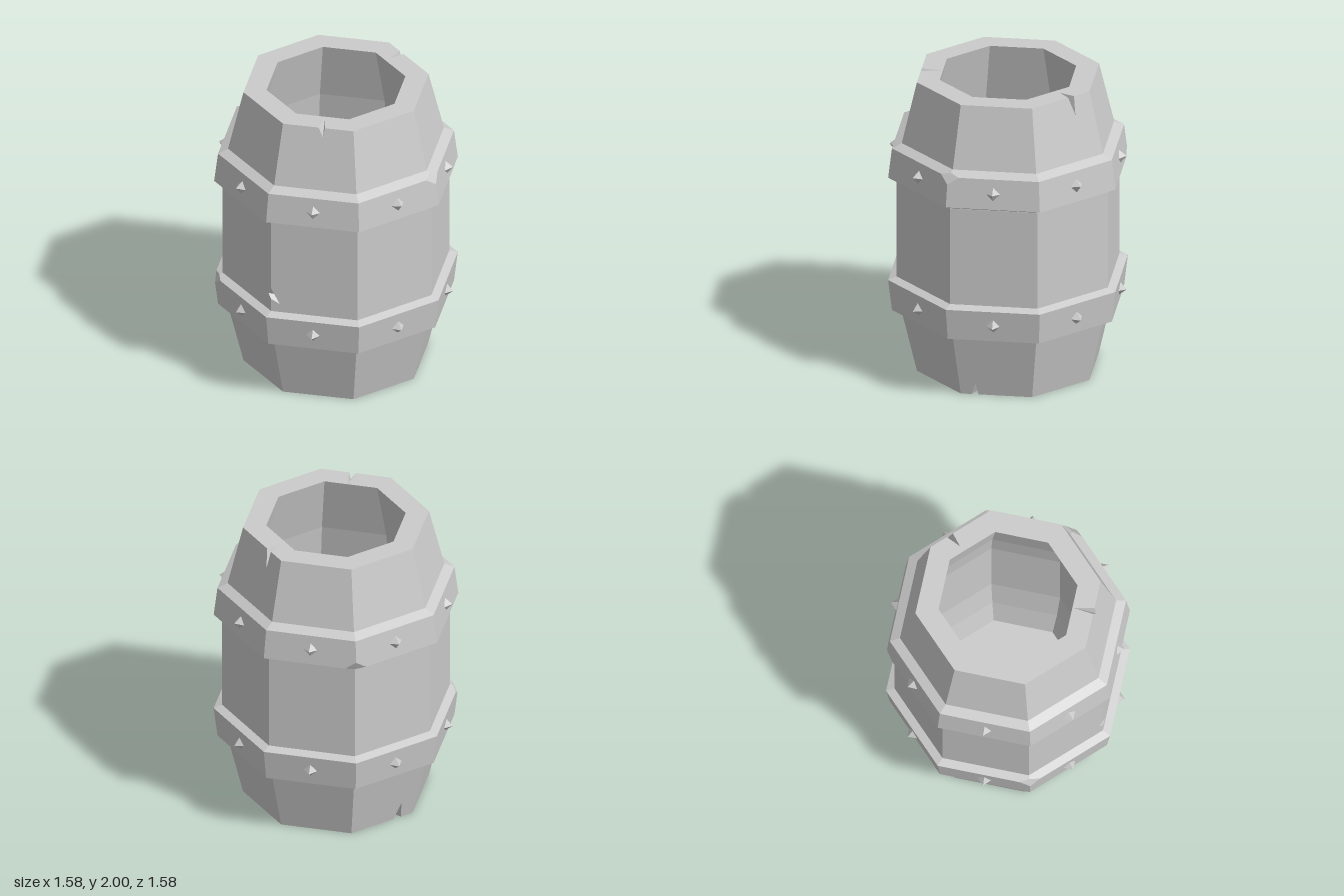
import * as THREE from 'three';
import { ConvexGeometry } from 'three/addons/geometries/ConvexGeometry.js';

const SIDES = 8;
const grey = new THREE.MeshStandardMaterial({ color: 0xcccccc, flatShading: true });
const greyOpen = new THREE.MeshStandardMaterial({ color: 0xcccccc, flatShading: true, side: THREE.DoubleSide });

// Corner k of an octagon with radius r at height y
function corner(k, r, y) {
  const a = (k * Math.PI * 2) / SIDES;
  return new THREE.Vector3(r * Math.sin(a), y, r * Math.cos(a));
}
const mix = (a, b, t) => a.clone().lerp(b, t);

// Triangulate a flat 3D polygon (counter-clockwise from its front) into out
function addPolygon(out, pts) {
  const n = new THREE.Vector3();
  pts.forEach((p, i) => n.add(p.clone().cross(pts[(i + 1) % pts.length])));
  n.normalize();
  const u = pts[1].clone().sub(pts[0]).normalize();
  const v = n.clone().cross(u);
  const flat = pts.map((p) => new THREE.Vector2(p.dot(u), p.dot(v)));
  for (const tri of THREE.ShapeUtils.triangulateShape(flat, [])) {
    for (const i of tri) out.push(pts[i].x, pts[i].y, pts[i].z);
  }
}

function toMesh(out, name) {
  const g = new THREE.BufferGeometry();
  g.setAttribute('position', new THREE.Float32BufferAttribute(out, 3));
  g.computeVertexNormals();
  const m = new THREE.Mesh(g, greyOpen);
  m.name = name;
  return m;
}

// [radius, height] outside and inside
const outer = [[0.6, 0], [0.7, 0.42], [0.735, 0.67], [0.735, 1.33], [0.7, 1.59], [0.6, 2]];
const inner = [[0.45, 0], [0.55, 0.42], [0.585, 0.67], [0.585, 1.33], [0.55, 1.59], [0.45, 2]];

// Splits in the rims: side, place along it, half width, depth down the side, reach across the rim
const splits = [
  { side: 7, top: true, t: 0.55, w: 0.045, depth: 0.06, reach: 0.97 },
  { side: 2, top: true, t: 0.68, w: 0.05, depth: 0.12, reach: 0.7 },
  { side: 1, top: false, t: 0.2, w: 0.05, depth: 0.08, reach: 0.75 },
  { side: 4, top: false, t: 0.75, w: 0.06, depth: 0.12, reach: 0.8 },
];

function buildBody() {
  const out = [];
  const last = outer.length - 1;
  // Point on a side panel of one row: t across, height y
  const onPanel = (k, row, t, y) => {
    const [r0, y0] = outer[row], [r1, y1] = outer[row + 1];
    const r = r0 + ((r1 - r0) * (y - y0)) / (y1 - y0);
    return mix(corner(k, r, y), corner(k + 1, r, y), t);
  };

  for (let k = 0; k < SIDES; k++) {
    const rims = { true: [], false: [] };
    // Split cuts the side panel and the rim, and gets two walls
    for (const s of splits.filter((q) => q.side === k)) {
      const row = s.top ? last - 1 : 0;
      const y = s.top ? 2 : 0;
      const a = onPanel(k, row, s.t - s.w, y);
      const b = onPanel(k, row, s.t + s.w, y);
      const tip = onPanel(k, row, s.t + 0.02, s.top ? 2 - s.depth : s.depth);
      const end = mix(mix(a, b, 0.5), mix(corner(k, 0.45, y), corner(k + 1, 0.45, y), s.t), s.reach);
      rims[s.top] = [a, tip, b, end];
      addPolygon(out, s.top ? [a, tip, end] : [a, end, tip]);
      addPolygon(out, s.top ? [tip, b, end] : [tip, end, b]);
    }

    // Outer and inner walls
    for (let row = 0; row < last; row++) {
      const [r0, y0] = outer[row], [r1, y1] = outer[row + 1];
      const pts = [corner(k, r0, y0)];
      if (row === 0) pts.push(...rims.false.slice(0, 3));
      pts.push(corner(k + 1, r0, y0));
      // Chip on the corner between sides 6 and 7
      if (row === 2 && k === 6) pts.push(onPanel(6, 2, 1, 0.76), onPanel(6, 2, 0.95, 0.79), onPanel(6, 2, 1, 0.84));
      pts.push(corner(k + 1, r1, y1));
      if (row === last - 1) pts.push(...rims.true.slice(0, 3).reverse());
      pts.push(corner(k, r1, y1));
      if (row === 2 && k === 7) pts.push(onPanel(7, 2, 0, 0.84), onPanel(7, 2, 0.1, 0.73), onPanel(7, 2, 0, 0.76));
      addPolygon(out, pts);

      const [i0, h0] = inner[row], [i1, h1] = inner[row + 1];
      addPolygon(out, [corner(k + 1, i0, h0), corner(k, i0, h0), corner(k, i1, h1), corner(k + 1, i1, h1)]);
    }

    // Rims
    for (const top of [true, false]) {
      const y = top ? 2 : 0;
      const [a, , b, end] = rims[top];
      const pts = [corner(k, 0.6, y), ...(a ? [a, end, b] : []), corner(k + 1, 0.6, y),
        corner(k + 1, 0.45, y), corner(k, 0.45, y)];
      addPolygon(out, top ? pts : pts.reverse());
    }
  }

  // Walls of the corner chip
  const ring = [onPanel(7, 2, 0, 0.84), onPanel(6, 2, 0.95, 0.79), onPanel(7, 2, 0, 0.76), onPanel(7, 2, 0.1, 0.73)];
  const deep = corner(7, 0.7, 0.78);
  ring.forEach((p, i) => addPolygon(out, [p, ring[(i + 1) % 4], deep]));
  return toMesh(out, 'staves');
}

// Hoop: hull of octagon rings with knocked-off corners, without its end caps
function buildHoop(profile, chips, name) {
  const pts = [];
  profile.forEach(([r, y], row) => {
    for (let k = 0; k < SIDES; k++) {
      const p = corner(k, r, y);
      if (!chips.some((c) => c.k === k && c.row === row)) {
        pts.push(p);
        continue;
      }
      pts.push(mix(p, corner(k - 1, r, y), 0.12), mix(p, corner(k + 1, r, y), 0.12));
      for (const d of [-1, 1]) {
        const [r2, y2] = profile[row + d];
        const len = Math.hypot(r2 - r, y2 - y);
        pts.push(mix(p, corner(k, r2, y2), Math.min(0.6, 0.05 / len)));
      }
    }
  });
  const pos = new ConvexGeometry(pts).getAttribute('position');
  const out = [];
  const tri = new THREE.Triangle();
  const n = new THREE.Vector3();
  for (let i = 0; i < pos.count; i += 3) {
    tri.setFromAttributeAndIndices(pos, i, i + 1, i + 2);
    tri.getNormal(n);
    if (Math.abs(n.y) < 0.99) for (const p of [tri.a, tri.b, tri.c]) out.push(p.x, p.y, p.z);
  }
  return toMesh(out, name);
}

// Pyramid studs, one per side
function buildStuds(y, tilt, name) {
  const group = new THREE.Group();
  group.name = name;
  const geo = new THREE.ConeGeometry(0.055, 0.055, 4).rotateX(Math.PI / 2).rotateX(tilt);
  for (let k = 0; k < SIDES; k++) {
    const stud = new THREE.Mesh(geo, grey);
    const a = ((k + 0.5) * Math.PI * 2) / SIDES;
    stud.position.set(0.735 * Math.sin(a), y, 0.735 * Math.cos(a));
    stud.rotation.y = a;
    stud.name = 'stud';
    group.add(stud);
  }
  return group;
}

// Floor disc with three planks beneath
function buildFloor() {
  const group = new THREE.Group();
  group.name = 'floor';
  const disc = new THREE.Mesh(new THREE.CylinderGeometry(0.5, 0.5, 0.04, SIDES), grey);
  disc.position.y = 0.2;
  disc.name = 'floorDisc';
  group.add(disc);

  const outlines = [
    [[-0.14, -0.45], [0.14, -0.45], [0.14, 0.45], [-0.14, 0.45]],
    [[0.165, -0.45], [0.187, -0.45], [0.45, -0.187], [0.45, 0.187], [0.187, 0.45], [0.165, 0.45]],
  ];
  outlines.push(outlines[1].map(([x, y]) => [-x, y]));
  for (const o of outlines) {
    const shape = new THREE.Shape(o.map(([x, y]) => new THREE.Vector2(x, y)));
    const geo = new THREE.ExtrudeGeometry(shape, { depth: 0.025, bevelEnabled: false });
    geo.rotateX(Math.PI / 2).rotateY(-Math.PI / 8).translate(0, 0.181, 0);
    const plank = new THREE.Mesh(geo, grey);
    plank.name = 'floorPlank';
    group.add(plank);
  }
  return group;
}

export function createModel() {
  const model = new THREE.Group();
  model.name = 'barrel';
  model.add(
    buildBody(),
    buildHoop([[0.7, 0.415], [0.765, 0.44], [0.79, 0.65], [0.735, 0.67]], [{ k: 6, row: 2 }], 'lowerHoop'),
    buildHoop([[0.735, 1.335], [0.79, 1.36], [0.765, 1.56], [0.7, 1.59]], [{ k: 1, row: 2 }, { k: 4, row: 1 }], 'upperHoop'),
    buildStuds(0.545, 0.12, 'lowerStuds'),
    buildStuds(1.465, -0.12, 'upperStuds'),
    buildFloor()
  );
  return model;
}
